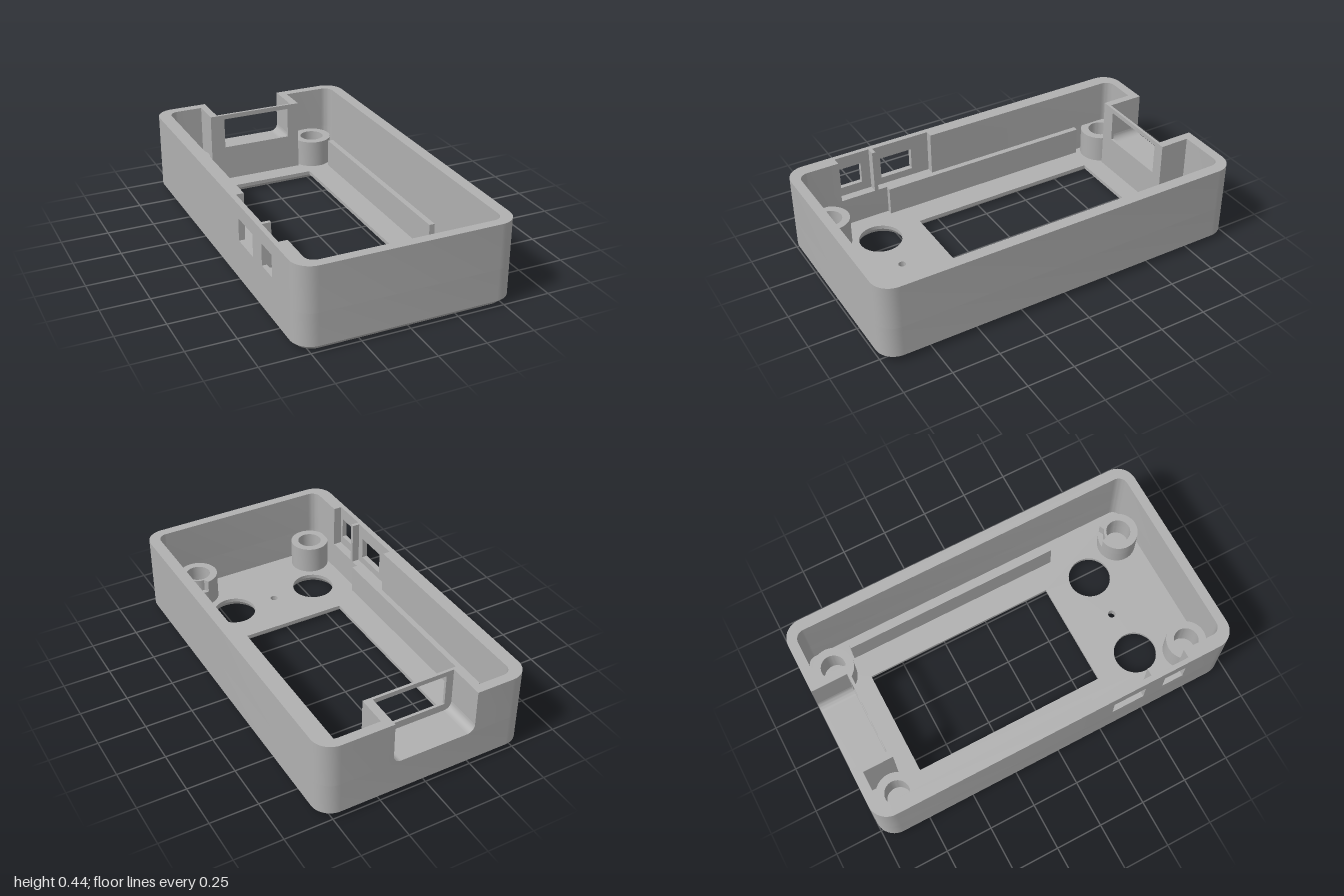
import * as THREE from 'three';
import { toCreasedNormals } from 'three/addons/utils/BufferGeometryUtils.js';

const V = (x, y) => new THREE.Vector2(x, y);
const FLOOR = 0.045, LEDGE = 0.2, TOP = 0.435, CHAMFER = 0.03;

// Plan outlines use (x, -z). Each corner is [x, y, radius].
function outline(corners) {
  const pts = [], n = corners.length;
  corners.forEach(([x, y, r = 0], i) => {
    const p = V(x, y);
    if (!r) return pts.push(p);
    const a = V(...corners[(i + n - 1) % n].slice(0, 2)).sub(p).normalize().multiplyScalar(r);
    const b = V(...corners[(i + 1) % n].slice(0, 2)).sub(p).normalize().multiplyScalar(r);
    for (let k = 0; k <= 10; k++) {
      const t = k / 10 * Math.PI / 2;
      pts.push(p.clone().addScaledVector(a, 1 - Math.sin(t)).addScaledVector(b, 1 - Math.cos(t)));
    }
  });
  return pts;
}
const rect = (x0, x1, y0, y1, r = 0) =>
  outline([[x0, y0, r], [x1, y0, r], [x1, y1, r], [x0, y1, r]]);
const circle = (x, y, radius, n = 48) => Array.from({ length: n }, (_, i) => {
  const t = i / n * Math.PI * 2;
  const r = typeof radius === 'function' ? radius(t) : radius;
  return V(x + r * Math.cos(t), y + r * Math.sin(t));
});

function shapeOf(pts, holes = []) {
  const s = new THREE.Shape(pts);
  s.holes = holes.map(h => new THREE.Path(h));
  return s;
}
const solid = (pts, holes, depth) => toCreasedNormals(
  new THREE.ExtrudeGeometry(shapeOf(pts, holes), { depth, bevelEnabled: false }), 0.5);
const upright = (pts, holes, y0, y1) =>
  solid(pts, holes, y1 - y0).rotateX(-Math.PI / 2).translate(0, y0, 0);

// Skin between two matching outlines at two heights
function strip(A, yA, B, yB) {
  const pos = [];
  A.forEach((_, i) => {
    const j = (i + 1) % A.length;
    const q = [[A[i], yA], [A[j], yA], [B[j], yB], [B[i], yB]];
    for (const k of [0, 1, 2, 0, 2, 3]) pos.push(q[k][0].x, q[k][1], -q[k][0].y);
  });
  const g = new THREE.BufferGeometry();
  g.setAttribute('position', new THREE.Float32BufferAttribute(pos, 3));
  g.computeVertexNormals();
  return toCreasedNormals(g, 0.5);
}

export function createModel() {
  const model = new THREE.Group();
  model.name = 'enclosure';
  const grey = new THREE.MeshStandardMaterial({ color: 0xb0b0b0 });
  grey.name = 'plastic grey';
  const add = (name, geo) => {
    const m = new THREE.Mesh(geo, grey);
    m.name = name;
    model.add(m);
    return m;
  };
  const box = (name, x0, x1, y0, y1, z0, z1) => add(name,
    new THREE.BoxGeometry(x1 - x0, y1 - y0, z1 - z0)
      .translate((x0 + x1) / 2, (y0 + y1) / 2, (z0 + z1) / 2));

  const outer = rect(-0.56, 0.56, -1, 1, 0.1);
  const inner = rect(-0.49, 0.5, -0.95, 0.95, 0.05);
  const base = rect(-0.53, 0.53, -0.97, 0.97, 0.08);

  // Floor openings: screen, two buttons and an indicator, flared underneath
  const openings = [
    ['screenOpening', g => rect(-0.32 - g, 0.255 + g, -0.37 - g, 0.685 + g), 0.025],
    ['buttonHole', g => circle(-0.285, -0.615, 0.113 + g), 0.015],
    ['buttonHole', g => circle(0.21, -0.615, 0.113 + g), 0.015],
    ['indicatorHole', g => circle(-0.035, -0.615, 0.02 + g, 20), 0.001],
  ];
  const flared = openings.map(([, f, g]) => f(g));
  const straight = openings.map(([, f]) => f(0));
  add('floorUnderside', new THREE.ShapeGeometry(shapeOf(base, flared)).rotateX(Math.PI / 2).scale(1, 1, -1)
    .rotateX(0)).geometry.dispose();
  model.remove(model.children[0]);
  const under = new THREE.ShapeGeometry(shapeOf(base, flared)).rotateX(-Math.PI / 2);
  const idx = under.index.array;
  for (let i = 0; i < idx.length; i += 3) [idx[i], idx[i + 1]] = [idx[i + 1], idx[i]];
  under.computeVertexNormals();
  add('floorUnderside', under);
  add('floorTop', new THREE.ShapeGeometry(shapeOf(inner, straight))
    .rotateX(-Math.PI / 2).translate(0, FLOOR, 0));
  add('bottomChamfer', strip(base, 0, outer, CHAMFER));
  openings.forEach(([name], i) => {
    const a = flared[i].slice().reverse(), b = straight[i].slice().reverse();
    add(name + 'Flare', strip(a, 0, b, 0.025));
    add(name + 'Edge', strip(b, 0.025, b, FLOOR));
  });

  // Walls: a full ring below, then two pieces around the openings
  add('lowerWall', upright(outer, [inner], CHAMFER, LEDGE));
  add('mainUpperWall', upright(outline([
    [0.185, 0.79], [0.23, 0.79], [0.23, 0.95], [0.5, 0.95, 0.05], [0.5, -0.95, 0.05],
    [-0.49, -0.95, 0.05], [-0.49, -0.73], [-0.56, -0.73], [-0.56, -1, 0.1],
    [0.56, -1, 0.1], [0.56, 1, 0.1], [0.185, 1],
  ]), [], LEDGE, TOP));
  add('rearCornerUpperWall', upright(outline([
    [-0.56, -0.2], [-0.49, -0.2], [-0.49, 0.95, 0.05], [-0.3, 0.95], [-0.3, 0.79],
    [-0.26, 0.79], [-0.26, 1], [-0.56, 1, 0.1],
  ]), [], LEDGE, TOP));

  // Thin side panels with port windows, and the rib between them
  for (const [z0, z1, w0, w1, y0, y1, t] of [
    [0.2, 0.53, 0.3, 0.48, 0.24, 0.36, 0.03],
    [0.53, 0.73, 0.59, 0.71, 0.25, 0.365, 0.025],
  ]) {
    add('portPanel', solid(rect(z0, z1, LEDGE, TOP), [rect(w0, w1, y0, y1)], t)
      .rotateY(-Math.PI / 2).translate(-0.56 + t, 0, 0));
  }
  box('portRib', -0.55, -0.49, LEDGE, TOP, 0.52, 0.54);

  // Rear connector pocket with rounded lower corners
  box('pocketBlock', -0.3, 0.23, FLOOR, LEDGE, -0.96, -0.79);
  add('pocketPanel', solid(rect(-0.26, 0.185, LEDGE, TOP),
    [rect(-0.22, 0.165, 0.24, 0.41)], 0.015).translate(0, 0, -0.805));
  for (const [x, s] of [[-0.26, 1], [0.185, -1]]) {
    const arc = [V(x, LEDGE)];
    for (let i = 0; i <= 8; i++) {
      const t = i / 8 * Math.PI / 2;
      arc.push(V(x + s * 0.04 * (1 - Math.sin(t)), LEDGE + 0.04 * (1 - Math.cos(t))));
    }
    add('pocketFillet', solid(arc, [], 0.195).translate(0, 0, -1));
  }

  // Board rails
  box('rail', -0.495, -0.46, FLOOR, LEDGE, -0.72, 0.47);
  box('rail', 0.39, 0.42, FLOOR, LEDGE, -0.72, 0.47);

  // Screw posts; one has a small bite out of its upper rim
  const post = (x, z, r, y0, y1) =>
    add('screwPost', upright(circle(x, -z, r), [circle(x, -z, 0.065)], y0, y1));
  post(-0.41, -0.845, 0.108, FLOOR, 0.195);
  post(0.34, -0.845, 0.108, FLOOR, 0.195);
  post(-0.39, 0.845, 0.105, FLOOR, 0.195);
  post(0.32, 0.845, 0.105, FLOOR, 0.13);
  post(0.32, 0.845, t => Math.abs(t - 1.2) < 0.38 ? 0.078 : 0.105, 0.13, 0.195);
  return model;
}
